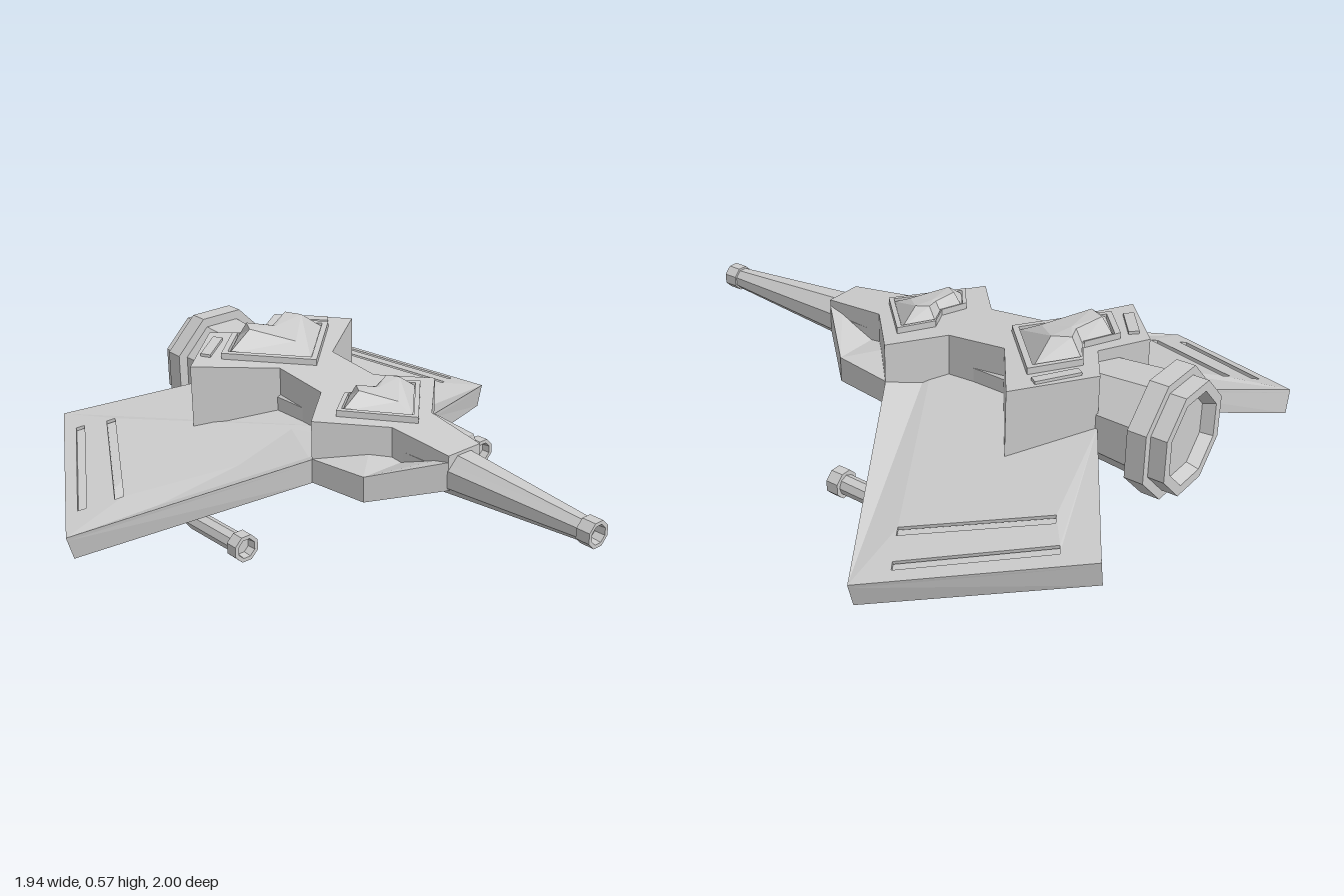
import * as THREE from 'three';

const material = new THREE.MeshStandardMaterial({ color: 0xcccccc, flatShading: true, side: THREE.DoubleSide });

function add(group, name, geometry) {
  const mesh = new THREE.Mesh(geometry, material);
  mesh.name = name;
  group.add(mesh);
  return mesh;
}

// Mirror the right half of a plan outline (x, z), skipping points on the centre line.
const mirrored = (half) => [...half, ...half.filter((p) => p[0] > 0).reverse().map(([x, z]) => [-x, z])];
const toPlan = (pts) => pts.map(([x, z]) => new THREE.Vector2(x, -z));

// Plan outline extruded upwards between two height rules; lean pulls the lower edge inboard.
function slab(outline, top, bottom, holes = [], lean = 0) {
  const shape = new THREE.Shape(toPlan(outline));
  holes.forEach((h) => shape.holes.push(new THREE.Path(toPlan(h))));
  const geo = new THREE.ExtrudeGeometry(shape, { depth: 1, bevelEnabled: false });
  geo.rotateX(-Math.PI / 2);
  const p = geo.attributes.position;
  for (let i = 0; i < p.count; i++) {
    const x = p.getX(i), z = p.getZ(i);
    const t = top(x, z), b = bottom(x, z);
    const y = b + (t - b) * p.getY(i);
    p.setXYZ(i, x - lean * x * (0.39 - 0.31 * Math.abs(x) - y), y, z);
  }
  geo.computeVertexNormals();
  return geo;
}

// Eight-sided turned part along z; the profile lists [apothem, z].
function turned(profile) {
  const pts = profile.map(([r, z]) => new THREE.Vector2(r / Math.cos(Math.PI / 8), z));
  return new THREE.LatheGeometry(pts, 8, Math.PI / 8).rotateX(Math.PI / 2);
}

const deckY = (x, z) => 0.44 - 0.1 * z;
const wingY = (x, z) => Math.min(0.33, 0.391 - 0.321 * Math.abs(x) - 0.027 * z);

// Heart-shaped half outline, scaled about its middle
function heart({ w, front, mid, lobe, rear, notch }, s = 1) {
  return mirrored([[0, front], [w, mid], [lobe, rear], [0, notch]].map(([x, z]) => [x * s, mid + (z - mid) * s]));
}

// Faceted canopy lofted from the heart outline to a smaller raised crown
function crystal(h, height) {
  const base = heart(h, 0.86);
  const crown = mirrored([
    [0, h.mid + (h.front - h.mid) * 0.5], [h.w * 0.48, h.mid],
    [h.lobe * 0.8, h.mid + (h.rear - h.mid) * 0.5], [0, h.mid + (h.notch - h.mid) * 0.35],
  ]);
  const lift = [0.6, 1, 0.95, 0.75, 0.95, 1].map((k) => k * height);
  const pos = [], index = [], n = base.length;
  base.forEach(([x, z]) => pos.push(x, deckY(x, z) + 0.012, z));
  crown.forEach(([x, z], i) => pos.push(x, deckY(x, z) + lift[i], z));
  pos.push(0, deckY(0, h.mid) + height * 0.8, h.mid);
  for (let i = 0; i < n; i++) {
    const j = (i + 1) % n;
    index.push(i, j, n + j, i, n + j, n + i, n + i, n + j, 2 * n);
  }
  const geo = new THREE.BufferGeometry();
  geo.setAttribute('position', new THREE.Float32BufferAttribute(pos, 3));
  geo.setIndex(index);
  geo.computeVertexNormals();
  return geo;
}

// Thin quad running from a to b in plan
function strip(a, b, width) {
  const dx = b[0] - a[0], dz = b[1] - a[1], k = width / 2 / Math.hypot(dx, dz);
  const nx = -dz * k, nz = dx * k;
  return [[a[0] + nx, a[1] + nz], [b[0] + nx, b[1] + nz], [b[0] - nx, b[1] - nz], [a[0] - nx, a[1] - nz]];
}

export function createModel() {
  const model = new THREE.Group();
  model.name = 'spacecraft';

  // Upper hull with waist, front block and notched rear block
  const hull = mirrored([[0, 0.45], [0.07, 0.45], [0.09, 0.21], [0.28, 0.03], [0.12, -0.11],
    [0.12, -0.33], [0.37, -0.51], [0.15, -0.70], [0, -0.60]]);
  add(model, 'upperHull', slab(hull, deckY, (x, z) => (z > 0.1 ? 0.31 : 0.26)));

  // Low chin deck around the front block
  const chin = mirrored([[0, 0.45], [0.07, 0.45], [0.25, 0.25], [0.28, 0.03], [0, 0.03]]);
  const rise = (z) => Math.max(0, z - 0.25) * 0.2;
  add(model, 'chinDeck', slab(chin, (x, z) => 0.342 - 0.14 * Math.abs(x) + rise(z), (x, z) => 0.217 + rise(z) * 1.4));

  // Tapered spine running from engine to nose
  const spine = add(model, 'spine', turned([[0, -0.83], [0.165, -0.83], [0.035, 0.96], [0, 0.96]]));
  spine.position.y = 0.312;

  // Nose muzzle with a bore
  const nose = add(model, 'noseMuzzle', turned([[0.03, 0.95], [0.042, 0.95], [0.042, 1.0], [0.03, 1.0], [0.026, 0.965], [0, 0.965]]));
  nose.position.y = 0.313;

  // Stepped engine nozzle
  const engine = add(model, 'engineNozzle', turned([[0, -0.91], [0.125, -0.91], [0.14, -0.95], [0.172, -0.95],
    [0.172, -0.895], [0.2, -0.895], [0.2, -0.83], [0, -0.83]]));
  engine.position.y = 0.31;

  // Canopies with raised frames
  const canopies = [
    ['rearCanopy', { w: 0.245, front: -0.275, mid: -0.5, lobe: 0.11, rear: -0.615, notch: -0.55 }, 0.08],
    ['frontCanopy', { w: 0.19, front: 0.24, mid: 0.05, lobe: 0.085, rear: -0.03, notch: 0.01 }, 0.064],
  ];
  for (const [name, h, height] of canopies) {
    add(model, name + 'Frame', slab(heart(h), (x, z) => deckY(x, z) + 0.022, (x, z) => deckY(x, z) - 0.02, [heart(h, 0.88)]));
    add(model, name, crystal(h, height));
  }

  const wing = [[0, 0.03], [0.28, 0.03], [0.97, -0.39], [0.6, -1.0], [0.15, -0.7], [0, -0.6]];
  const slots = [strip([0.61, -0.87], [0.86, -0.465], 0.03), strip([0.525, -0.8], [0.755, -0.4], 0.03)];
  const skin = (x, z) => wingY(x, z) - 0.012;

  for (const s of [1, -1]) {
    const side = new THREE.Group();
    side.name = s > 0 ? 'leftSide' : 'rightSide';
    model.add(side);
    const flip = (pts) => pts.map(([x, z]) => [x * s, z]);

    // Drooping wing: slotted skin over a solid core
    add(side, 'wingSkin', slab(flip(wing), wingY, skin, slots.map(flip), 0.28));
    add(side, 'wingCore', slab(flip(wing), skin, (x, z) => wingY(x, z) - 0.085, [], 0.28));

    // Small raised vent on the rear block
    add(side, 'deckVent', slab(flip(strip([0.16, -0.635], [0.28, -0.545], 0.035)),
      (x, z) => deckY(x, z) + 0.01, (x, z) => deckY(x, z) - 0.01));

    // Gun barrel bending up into the wing
    const path = new THREE.CurvePath();
    const a = new THREE.Vector3(0.55 * s, 0.065, -0.02), b = new THREE.Vector3(0.555 * s, 0.065, -0.25);
    const c = new THREE.Vector3(0.56 * s, 0.105, -0.31), d = new THREE.Vector3(0.56 * s, 0.17, -0.37);
    path.add(new THREE.LineCurve3(a, b));
    path.add(new THREE.QuadraticBezierCurve3(b, new THREE.Vector3(0.557 * s, 0.065, -0.28), c));
    path.add(new THREE.LineCurve3(c, d));
    add(side, 'gunBarrel', new THREE.TubeGeometry(path, 12, 0.034, 8));
    const muzzle = add(side, 'gunMuzzle', turned([[0, -0.045], [0.045, -0.045], [0.045, 0], [0.032, 0], [0.028, -0.03], [0, -0.03]]));
    muzzle.position.set(0.55 * s, 0.065, 0.02);
  }
  return model;
}
